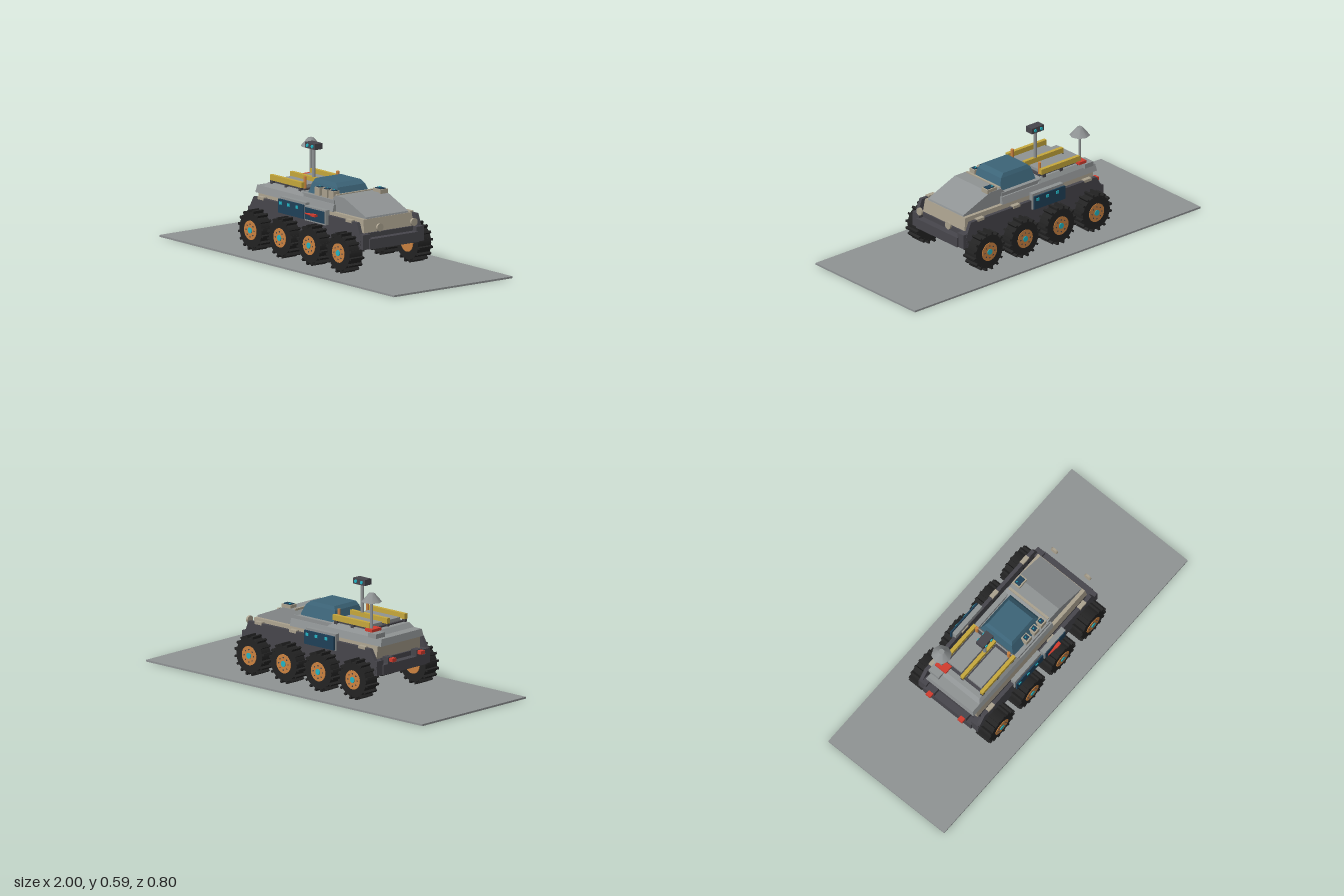
import * as THREE from 'three';

const mat = (name, color) => Object.assign(new THREE.MeshStandardMaterial({ color }), { name });
const M = {
  grey: mat('grey', 0x8f9394), dark: mat('charcoal', 0x47464c), tyre: mat('tyre black', 0x232323),
  copper: mat('copper', 0xcb8240), cyan: mat('cyan', 0x24b4c4), glass: mat('canopy blue', 0x3c6478),
  navy: mat('panel blue', 0x1f4058), yellow: mat('yellow', 0xc6a83c), red: mat('red', 0xd23c2e),
  beige: mat('beige', 0xaaa18e),
};

export function createModel() {
  const root = new THREE.Group();
  root.name = 'rover';

  const add = (name, geo, m, parent = root) => {
    const mesh = new THREE.Mesh(geo, m);
    mesh.name = name;
    parent.add(mesh);
    return mesh;
  };
  // Box given by its extents on each axis
  const box = (name, m, x0, x1, y0, y1, z0, z1, parent) => add(name,
    new THREE.BoxGeometry(x1 - x0, y1 - y0, z1 - z0)
      .translate((x0 + x1) / 2, (y0 + y1) / 2, (z0 + z1) / 2), m, parent);
  // Block whose top face has its own extents: [x0, x1, half depth]
  const taper = (name, m, y0, y1, [a0, a1, ad], [b0, b1, bd]) => {
    const g = new THREE.BoxGeometry(1, 1, 1);
    const p = g.attributes.position;
    for (let i = 0; i < p.count; i++) {
      const top = p.getY(i) > 0, right = p.getX(i) > 0, s = Math.sign(p.getZ(i));
      p.setXYZ(i, top ? (right ? b1 : b0) : (right ? a1 : a0), top ? y1 : y0, s * (top ? bd : ad));
    }
    g.computeVertexNormals();
    return add(name, g, m);
  };
  // Upright cylinder
  const post = (name, m, x, z, y0, y1, r0, r1 = r0, n = 12) => add(name,
    new THREE.CylinderGeometry(r1, r0, y1 - y0, n).translate(x, (y0 + y1) / 2, z), m);
  // Side profile extruded along z
  const slab = (name, m, pts, z0, z1) => add(name, new THREE.ExtrudeGeometry(
    new THREE.Shape(pts.map(([x, y]) => new THREE.Vector2(x, y))),
    { depth: z1 - z0, bevelEnabled: false }).translate(0, 0, z0), m);

  box('groundPlate', M.grey, -1, 1, 0, 0.01, -0.4, 0.4);

  // Lower chassis, bumpers and hull
  box('chassis', M.dark, -0.46, 0.46, 0.14, 0.225, -0.165, 0.165);
  box('bellyPlate', M.grey, -0.35, 0.35, 0.123, 0.133, -0.13, 0.13);
  for (const s of [-1, 1]) {
    box('bumper', M.dark, Math.min(s * 0.46, s * 0.5), Math.max(s * 0.46, s * 0.5), 0.145, 0.2, -0.165, 0.165);
    for (const t of [-1, 1]) {
      const z = t * 0.18;
      box('bumperCorner', M.dark, Math.min(s * 0.44, s * 0.49), Math.max(s * 0.44, s * 0.49), 0.145, 0.225, z - 0.025, z + 0.025);
    }
  }
  taper('hull', M.beige, 0.225, 0.296, [-0.45, 0.45, 0.167], [-0.455, 0.44, 0.162]);

  // Side skirts with small fender blocks
  const skirt = [[-0.49, 0.2], [-0.47, 0.14], [0.46, 0.14], [0.475, 0.2], [0.44, 0.285], [-0.44, 0.285]];
  for (const s of [-1, 1]) {
    const z = s * 0.197;
    slab('skirt', M.dark, skirt, z - 0.01, z + 0.01);
    box('skirtBracket', M.dark, -0.42, 0.42, 0.15, 0.2, Math.min(s * 0.16, z), Math.max(s * 0.16, z));
    for (const x of [-0.38, -0.13, 0.12, 0.37])
      box('fenderBlock', M.beige, x - 0.025, x + 0.025, 0.276, 0.291, z - 0.012, z + 0.012);
  }

  // Upper body: rear deck, mid collar and sloping nose
  taper('rearDeck', M.grey, 0.296, 0.335, [-0.48, 0.18, 0.165], [-0.475, 0.18, 0.155]);
  taper('rearPlatform', M.grey, 0.335, 0.36, [-0.42, -0.08, 0.155], [-0.4, -0.1, 0.14]);
  slab('nose', M.grey, [[0.1, 0.288], [0.44, 0.288], [0.435, 0.305], [0.25, 0.38], [0.17, 0.38], [0.13, 0.335]], -0.142, 0.142);
  box('canopyFrame', M.beige, 0.165, 0.178, 0.37, 0.385, -0.135, 0.135);
  for (const s of [-1, 1])
    box('canopySill', M.grey, -0.1, 0.17, 0.335, 0.355, s * 0.135 - 0.012, s * 0.135 + 0.012);

  // Faceted canopy
  taper('canopyLower', M.glass, 0.325, 0.41, [-0.1, 0.165, 0.122], [-0.08, 0.13, 0.093]);
  taper('canopyUpper', M.glass, 0.41, 0.43, [-0.08, 0.13, 0.093], [-0.065, 0.105, 0.083]);

  // Instrument boxes beside the canopy and on the nose
  const instrument = (x0, x1, z0, z1) => {
    box('instrumentBox', M.beige, x0, x1, 0.35, 0.397, z0, z1);
    box('instrumentScreen', M.navy, x0 + 0.008, x1 - 0.008, 0.397, 0.401, z0 + 0.008, z1 - 0.008);
    box('instrumentLight', M.cyan, x0 + 0.015, x0 + 0.022, 0.401, 0.404, z0 + 0.015, z0 + 0.022);
  };
  instrument(0.2, 0.265, -0.14, -0.09);
  for (const x of [-0.01, 0.055, 0.11]) instrument(x, x + 0.042, 0.095, 0.137);

  // Cargo bay: rails, crates and posts
  for (const z of [-0.135, 0, 0.135]) {
    box('cargoRail', M.yellow, -0.38, -0.11, 0.375, 0.405, z - 0.01, z + 0.01);
    for (const x of [-0.37, -0.25, -0.13])
      box('railFoot', M.dark, x - 0.01, x + 0.01, 0.355, 0.376, z - 0.008, z + 0.008);
  }
  for (const z of [-0.068, 0.068]) {
    box('cargoTray', M.dark, -0.37, -0.11, 0.358, 0.368, z - 0.058, z + 0.058);
    box('cargoCrate', M.grey, -0.355, -0.13, 0.368, 0.385, z - 0.046, z + 0.046);
  }
  for (const z of [-0.11, 0.11]) post('copperPost', M.copper, -0.125, z, 0.36, 0.432, 0.009);
  box('equipmentBox', M.grey, -0.45, -0.39, 0.335, 0.36, -0.17, -0.1);
  box('redLid', M.red, -0.41, -0.36, 0.361, 0.376, -0.16, -0.085);

  // Camera mast
  post('mast', M.grey, -0.19, 0, 0.36, 0.56, 0.01);
  box('cameraHead', M.dark, -0.232, -0.147, 0.558, 0.59, -0.025, 0.025);
  for (const s of [-1, 1]) for (const x of [-0.21, -0.168])
    add('cameraLens', new THREE.CylinderGeometry(0.009, 0.009, 0.006, 12)
      .rotateX(Math.PI / 2).translate(x, 0.574, s * 0.028), M.cyan);

  // Dish antenna
  post('dishPole', M.grey, -0.385, -0.135, 0.335, 0.53, 0.008);
  post('dish', M.grey, -0.385, -0.135, 0.522, 0.568, 0.055, 0.016, 8);

  // Headlights and tail lights
  for (const s of [-1, 1]) {
    add('headlight', new THREE.CylinderGeometry(0.021, 0.021, 0.012, 20)
      .rotateZ(Math.PI / 2).translate(0.518, 0.262, s * 0.115), M.beige);
    box('tailLight', M.red, -0.527, -0.498, 0.213, 0.232, s * 0.11 - 0.015, s * 0.11 + 0.015);
    box('tailLightMount', M.dark, -0.5, -0.46, 0.17, 0.235, s * 0.11 - 0.02, s * 0.11 + 0.02);
  }

  // Side equipment panels
  for (const s of [-1, 1]) {
    const panel = new THREE.Group();
    panel.name = 'sidePanel';
    box('panelCase', M.grey, -0.2, 0.015, 0.235, 0.325, 0.19, 0.216, panel);
    box('panelFace', M.navy, -0.2, 0.015, 0.24, 0.315, 0.223, 0.231, panel);
    box('panelMount', M.dark, -0.17, -0.02, 0.25, 0.3, 0.214, 0.224, panel);
    for (const x of [-0.178, -0.11, -0.04])
      box('panelLight', M.cyan, x - 0.009, x + 0.009, 0.287, 0.303, 0.23, 0.235, panel);
    panel.children.forEach((c) => { if (s < 0) c.geometry.scale(-1, 1, -1).translate(-0.185, 0, 0); });
    root.add(panel);
  }
  box('toolCase', M.grey, 0.025, 0.2, 0.235, 0.315, 0.2, 0.23);
  box('toolCaseFace', M.navy, 0.033, 0.193, 0.243, 0.307, 0.23, 0.234);
  add('redTool', new THREE.CylinderGeometry(0.003, 0.008, 0.06, 10)
    .rotateZ(Math.PI / 2).translate(0.072, 0.277, 0.242), M.red);
  box('redToolGrip', M.red, 0.1, 0.137, 0.271, 0.284, 0.234, 0.252);

  // Eight lugged wheels
  const disc = (r, z0, z1, n) => new THREE.CylinderGeometry(r, r, z1 - z0, n)
    .rotateX(Math.PI / 2).translate(0, 0, (z0 + z1) / 2);
  for (const s of [-1, 1]) for (const x of [-0.38, -0.13, 0.12, 0.37]) {
    const wheel = new THREE.Group();
    wheel.name = 'wheel';
    add('tyre', disc(0.094, -0.044, 0.044, 24), M.tyre, wheel);
    for (let i = 0; i < 16; i++)
      add('lug', new THREE.BoxGeometry(0.022, 0.012, 0.09).translate(0.098, 0, 0)
        .rotateZ((i + 0.5) * Math.PI / 8), M.tyre, wheel);
    add('rim', disc(0.052, -0.048, 0.047, 24), M.copper, wheel);
    add('hub', disc(0.016, 0.03, 0.051, 12), M.cyan, wheel);
    for (let i = 0; i < 8; i++)
      add('rimBolt', disc(0.004, 0.04, 0.049, 8).translate(
        0.034 * Math.cos(i * Math.PI / 4), 0.034 * Math.sin(i * Math.PI / 4), 0), M.dark, wheel);
    wheel.position.set(x, 0.12, s * 0.231);
    if (s < 0) wheel.rotation.y = Math.PI;
    root.add(wheel);
  }
  return root;
}
